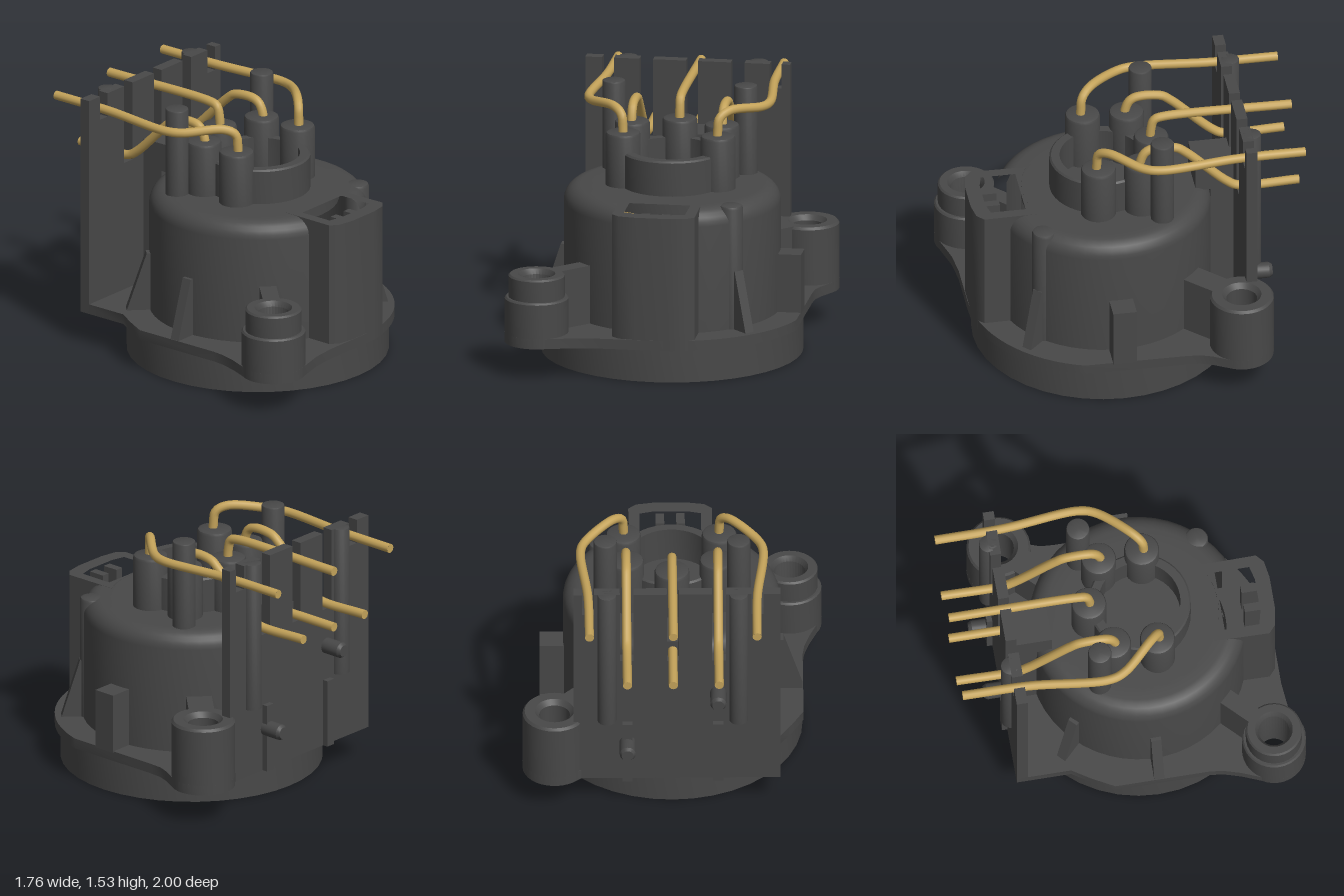
import * as THREE from 'three';
import { toCreasedNormals } from 'three/addons/utils/BufferGeometryUtils.js';

const plastic = new THREE.MeshStandardMaterial({ color: 0x484848 });
const brass = new THREE.MeshStandardMaterial({ color: 0xc4a35a });
const CZ = 0.12; // z of the housing axis

export function createModel() {
  const model = new THREE.Group();
  model.name = 'sensorHousing';

  const add = (name, geo, x = 0, y = 0, z = 0, mat = plastic) => {
    const mesh = new THREE.Mesh(toCreasedNormals(geo, 0.6), mat);
    mesh.name = name;
    mesh.position.set(x, y, z);
    model.add(mesh);
    return mesh;
  };
  // Box given by its limits
  const box = (name, x0, x1, y0, y1, z0, z1) =>
    add(name, new THREE.BoxGeometry(x1 - x0, y1 - y0, z1 - z0), (x0 + x1) / 2, (y0 + y1) / 2, (z0 + z1) / 2);
  // Solid of revolution; profile runs up the outside, then down the inside
  const lathe = (name, pts, x, z, seg = 40, start = 0, len = Math.PI * 2) =>
    add(name, new THREE.LatheGeometry(pts.map(p => new THREE.Vector2(...p)), seg, start, len), x, 0, z);
  // Vertical prism from an outline of [x, z] points
  const outline = pts => pts.map(([x, z]) => new THREE.Vector2(x, -z));
  const prism = (name, pts, holes, y0, y1) => {
    const shape = new THREE.Shape(outline(pts));
    holes.forEach(h => shape.holes.push(new THREE.Path(outline(h))));
    const geo = new THREE.ExtrudeGeometry(shape, { depth: y1 - y0, bevelEnabled: false });
    return add(name, geo.rotateX(-Math.PI / 2), 0, y0, 0);
  };
  const arc = (cx, cz, r, a0, a1, n) => Array.from({ length: n + 1 }, (_, i) => {
    const a = a0 + (a1 - a0) * i / n;
    return [cx + r * Math.cos(a), cz + r * Math.sin(a)];
  });
  // Full circle without a doubled end point
  const circle = (cx, cz, r, n = 32) => arc(cx, cz, r, 0, Math.PI * 2, n).slice(0, -1);
  // Rounded-top post
  const post = (name, x, z, r, y0, y1, f = 0.02) => lathe(name,
    [[r, y0], [r, y1 - f], [r - f * 0.3, y1 - f * 0.3], [r - f, y1], [0, y1]], x, z, 24);

  // Bottom ring
  lathe('baseRing', [[0.57, 0], [0.767, 0], [0.767, 0.21], [0.57, 0.21], [0.57, 0]], 0, CZ);

  // Mounting flange
  const LR = [0.69, -0.59], LL = [-0.697, 0.81];
  prism('flange', [
    [-0.63, -0.7], [0.53, -0.7],
    ...arc(...LR, 0.187, -2.4, 0.5, 16), [0.8, -0.4], [0.775, -0.33], [0.77, -0.25],
    ...arc(0, CZ, 0.8, 0.29, Math.PI / 2, 16), [-0.3, 0.92], [-0.45, 0.935],
    ...arc(...LL, 0.187, 1.15, 3.35, 14), [-0.81, 0.6], [-0.78, 0.5], [-0.77, 0.42],
    [-0.77, -0.14], [-0.7, -0.27], [-0.63, -0.38],
  ], [circle(0, CZ, 0.57, 40), circle(...LR, 0.09), circle(...LL, 0.09)], 0.2, 0.26);

  // Mounting lugs with bores
  lathe('rightLug', [[0.09, 0.2], [0.187, 0.2], [0.187, 0.595], [0.175, 0.61], [0.115, 0.61],
    [0.09, 0.58], [0.09, 0.2]], ...LR, 32);
  lathe('leftLug', [[0.09, 0.2], [0.187, 0.2], [0.187, 0.465], [0.178, 0.475], [0.165, 0.475],
    [0.165, 0.6], [0.155, 0.61], [0.11, 0.61], [0.09, 0.58], [0.09, 0.2]], ...LL, 32);
  // Webs tying the lugs to the housing
  [['rightWeb', LR, 0.15], ['leftWeb', LL, 0.1]].forEach(([name, [x, z], w]) => {
    const d = Math.hypot(x, z - CZ), r0 = 0.6, r1 = d - 0.13, a = Math.atan2(z - CZ, x);
    const m = add(name, new THREE.BoxGeometry(r1 - r0, 0.37, w),
      Math.cos(a) * (r0 + r1) / 2, 0.425, CZ + Math.sin(a) * (r0 + r1) / 2);
    m.rotation.y = -a;
  });

  // Hollow housing: wall with rounded shoulder, open at the front for the connector
  const shoulder = arc(0.535, 0.9, 0.1, 0, Math.PI / 2, 6);
  lathe('housingWall', [[0.57, 0.2], [0.635, 0.2], ...shoulder, [0.45, 1], [0.45, 0.93],
    [0.57, 0.93], [0.57, 0.2]], 0, CZ, 44, 0.36, Math.PI * 2 - 0.72);
  lathe('housingLid', [[0, 0.93], [0.475, 0.93], [0.475, 1], [0, 1]], 0, CZ);

  // Front connector pocket
  const pocket = [[-0.18, 0.605], [0.18, 0.605], [0.18, 0.81], [0.1, 0.83], [-0.1, 0.83], [-0.18, 0.81]];
  prism('connectorBox', [
    ...arc(0, CZ, 0.475, Math.PI / 2 + 0.53, Math.PI / 2 - 0.53, 10),
    [0.245, 0.86], [0.2, 0.9], [0.1, 0.917], [-0.1, 0.917], [-0.2, 0.9], [-0.245, 0.86],
  ], [pocket], 0.2, 1.001);
  prism('pocketFloor', [...arc(0, 0.21, 0.43, Math.PI / 2 + 0.45, Math.PI / 2 - 0.45, 10),
    [0.19, 0.84], [-0.19, 0.84]], [], 0.6, 0.7);
  [-0.06, 0.06].forEach(x => box('pocketTooth', x - 0.025, x + 0.025, 0.7, 0.98, 0.74, 0.84));

  // Collar ring and terminal posts on the lid
  lathe('collar', [[0.24, 0.99], [0.3, 0.99], [0.3, 1.2], [0.29, 1.21], [0.24, 1.21], [0.24, 0.99]], 0, 0.13);
  post('centrePost', 0, -0.17, 0.103, 0.93, 1.32);
  for (const s of [-1, 1]) {
    post('frontPost', s * 0.28, 0.19, 0.103, 0.93, 1.32);
    post('middlePost', s * 0.265, -0.068, 0.103, 0.93, 1.32);
    post('tallPeg', s * 0.39, -0.17, 0.068, 0.93, 1.53, 0.01);
  }

  // Slotted wire guide wall at the back
  const slots = [[0.53, 0.46, 1.385], [0.31, 0.23, 1.05], [0.035, -0.035, 1.05], [-0.23, -0.31, 1.05], [-0.46, -0.53, 1.385]];
  const wall = [[-0.63, 0.2], [0.58, 0.2], [0.58, 1.53]];
  slots.forEach(([a, b, y]) => wall.push([a, 1.53], [a, y], [b, y], [b, 1.53]));
  wall.push([-0.63, 1.53]);
  const wallShape = new THREE.Shape(wall.map(p => new THREE.Vector2(...p)));
  add('guideWall', new THREE.ExtrudeGeometry(wallShape, { depth: 0.065, bevelEnabled: false }), 0, 0, -0.702);
  box('wallBlockTop', -0.13, 0.13, 0.98, 1.15, -0.65, -0.41);
  box('wallBlockLower', -0.13, 0.13, 0.25, 1, -0.65, -0.5);
  for (const s of [-1, 1]) {
    // Round ribs, flat ribs and locating pegs behind the wall
    post('wallRoundRib', s * 0.385, -0.7, 0.055, 0.62, 1.53, 0.005);
    box('wallFlatRib', s * 0.265 - 0.03, s * 0.265 + 0.03, 0.2, 0.61, -0.735, -0.69);
    const peg = new THREE.CylinderGeometry(0.035, 0.047, 0.02, 20).translate(0, 0.08, 0);
    const y = s < 0 ? 0.82 : 0.46;
    add('pegTip', peg, s * 0.265, y, -0.75).rotation.x = -Math.PI / 2;
    add('pegShaft', new THREE.CylinderGeometry(0.047, 0.047, 0.14, 20), s * 0.265, y, -0.75).rotation.x = Math.PI / 2;
  }

  // Side block, corner boss and radial gussets
  box('sideBlock', 0.6, 0.77, 0.25, 0.61, 0.045, 0.185);
  post('cornerBoss', 0.41, 0.535, 0.07, 0.25, 1);
  [[Math.PI, 0.77], [-2.356, 0.775], [0.785, 0.765]].forEach(([a, r]) => {
    const tri = new THREE.Shape([[0.6, 0.25], [r, 0.25], [0.655, 0.61], [0.6, 0.61]].map(p => new THREE.Vector2(...p)));
    const geo = new THREE.ExtrudeGeometry(tri, { depth: 0.06, bevelEnabled: false }).translate(0, 0, -0.03);
    add('gusset', geo, 0, 0, CZ).rotation.y = -a;
  });

  // Bent terminal wires
  const wire = (name, pts) => {
    const path = new THREE.CatmullRomCurve3(pts.map(p => new THREE.Vector3(...p)));
    const tube = new THREE.Mesh(new THREE.TubeGeometry(path, 120, 0.027, 12), brass);
    tube.name = name;
    model.add(tube);
    const tip = add(name + 'Tip', new THREE.CircleGeometry(0.027, 12), ...pts[pts.length - 1], brass);
    tip.rotation.y = Math.PI;
    add(name + 'Pin', new THREE.SphereGeometry(0.027, 12, 8), ...pts[0], brass);
  };
  for (const s of [-1, 1]) {
    wire('outerWire', [[s * 0.28, 0.2, 0.2], [s * 0.28, 1.34, 0.2], [s * 0.29, 1.42, 0.19], [s * 0.34, 1.455, 0.14],
      [s * 0.5, 1.437, -0.04], [s * 0.533, 1.435, -0.14], [s * 0.495, 1.44, -0.6], [s * 0.49, 1.44, -1]]);
    wire('innerWire', [[s * 0.268, 0.2, -0.065], [s * 0.268, 1.34, -0.065], [s * 0.268, 1.4, -0.11], [s * 0.268, 1.4, -0.27],
      [s * 0.268, 1.36, -0.33], [s * 0.268, 1.13, -0.57], [s * 0.268, 1.09, -0.64], [s * 0.268, 1.09, -1]]);
  }
  wire('centreWire', [[0, 0.2, -0.17], [0, 1.37, -0.17], [0, 1.425, -0.19], [0, 1.44, -0.24], [0, 1.44, -1]]);
  wire('lowerWire', [[0, 1.09, -0.5], [0, 1.09, -1]]);

  return model;
}
